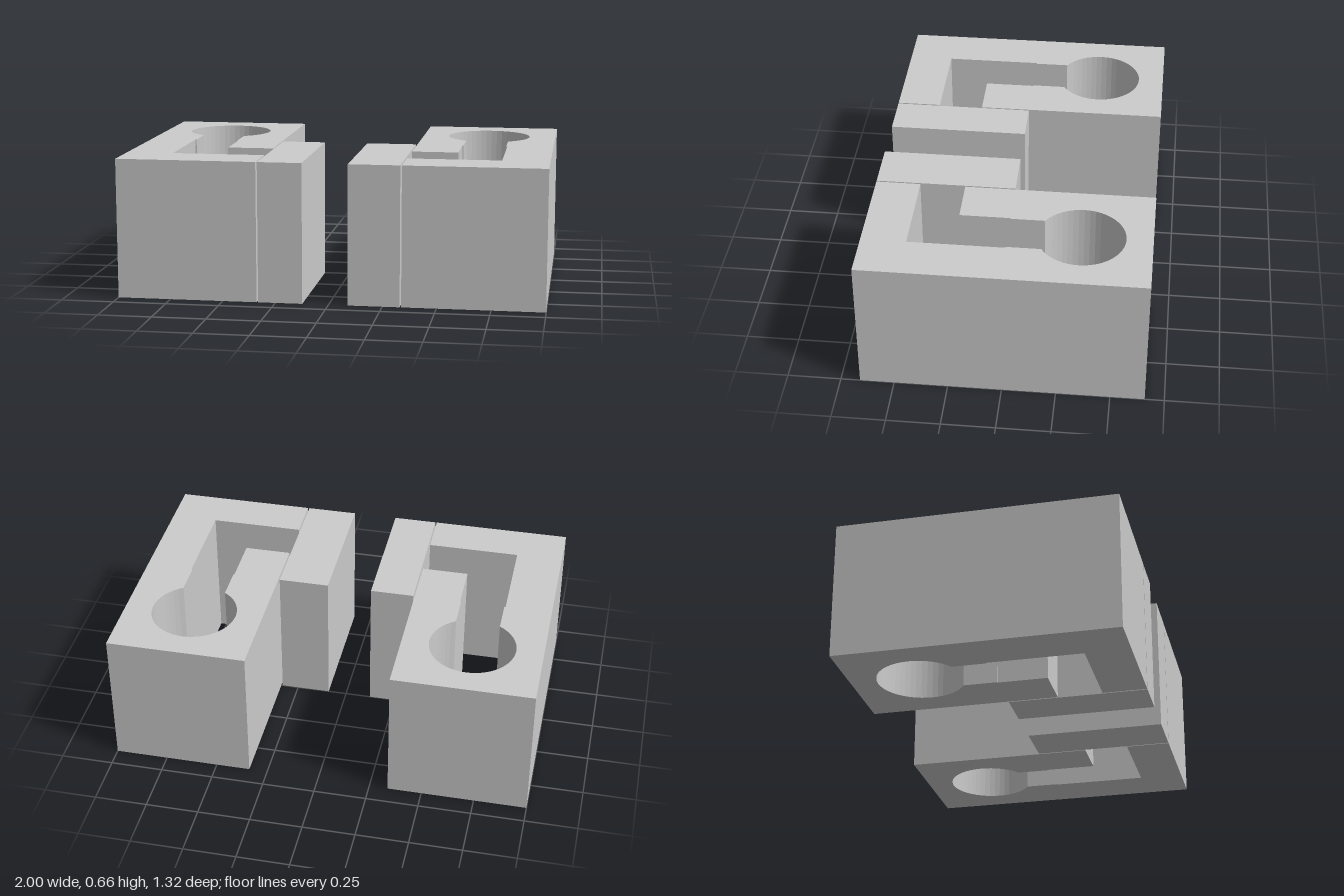
import * as THREE from 'three';

const HEIGHT = 0.66, BACK = -0.66, FRONT = 0.66;
const INNER = 0.338; // side of each block facing the middle

// Plan outline of a block with a keyhole channel, as [x, z] points
function blockOutline() {
  const cx = 0.668, cz = -0.334, r = 0.203, neck = 0.104;
  const points = [
    [INNER, BACK], [1, BACK], [1, FRONT], [INNER, FRONT],
    [INNER, 0.45], [0.778, 0.45], [0.778, 0], [cx + neck, 0],
  ];
  // round end of the keyhole, from one side of the neck to the other
  const start = Math.acos(neck / r), sweep = Math.PI + 2 * start, steps = 40;
  for (let i = 0; i <= steps; i++) {
    const a = start - (sweep * i) / steps;
    points.push([cx + r * Math.cos(a), cz + r * Math.sin(a)]);
  }
  points.push([cx - neck, 0], [0.559, 0], [0.559, 0.237], [INNER, 0.237]);
  return points;
}

// Raise a plan outline to full height; side = -1 mirrors it across x
function raise(points, side) {
  const shape = new THREE.Shape(points.map(([x, z]) => new THREE.Vector2(side * x, -z)));
  const geometry = new THREE.ExtrudeGeometry(shape, { depth: HEIGHT, bevelEnabled: false });
  return geometry.rotateX(-Math.PI / 2);
}

export function createModel() {
  const model = new THREE.Group();
  const material = new THREE.MeshStandardMaterial({ color: 0xcccccc });

  const add = (name, geometry) => {
    const mesh = new THREE.Mesh(geometry, material);
    mesh.name = name;
    model.add(mesh);
    return mesh;
  };

  // The bars stand a hair away from the blocks and differ in width
  for (const [label, side, barEnd] of [['left', 1, 0.09], ['right', -1, 0.123]]) {
    add(label + 'KeyholeBlock', raise(blockOutline(), side));
    const barStart = 0.331, width = barStart - barEnd;
    add(label + 'Bar', new THREE.BoxGeometry(width, HEIGHT, FRONT))
      .position.set(side * (barStart + barEnd) / 2, HEIGHT / 2, FRONT / 2);
  }
  return model;
}
